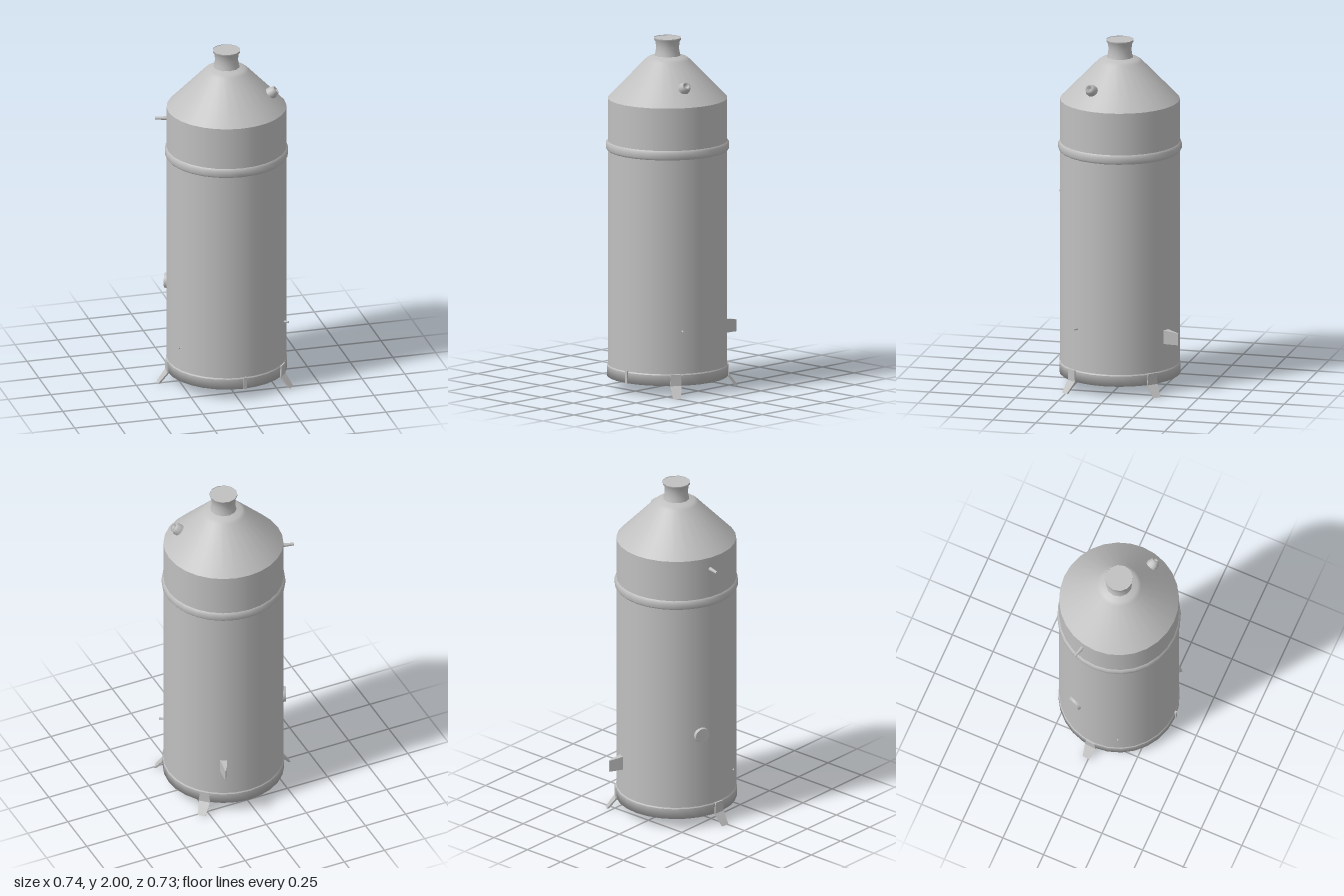
import * as THREE from 'three';

const SIDES = 28;
const R = 0.338; // tank wall radius

export function createModel() {
  const model = new THREE.Group();
  model.name = 'storageTank';
  const tank = new THREE.Group();
  tank.name = 'tank';
  tank.position.set(0.023, 0, 0.015);
  model.add(tank);

  const metal = new THREE.MeshStandardMaterial({ color: 0xc0c0c0, side: THREE.DoubleSide });
  metal.name = 'plain grey metal';

  const add = (name, geometry) => {
    const mesh = new THREE.Mesh(geometry, metal);
    mesh.name = name;
    tank.add(mesh);
    return mesh;
  };
  const lathe = (name, points, sides = SIDES) =>
    add(name, new THREE.LatheGeometry(points.map(p => new THREE.Vector2(...p)), sides));

  // Place a part at plan position (x, z) relative to the tank axis, +z facing outward
  const place = (mesh, x, y, z) => {
    mesh.position.set(x, y, z);
    mesh.rotation.y = Math.atan2(x, z);
    return mesh;
  };
  // Reshape a box by a rule, then restore crisp faces
  const shaped = (box, rule) => {
    const p = box.attributes.position;
    const v = new THREE.Vector3();
    for (let i = 0; i < p.count; i++) {
      rule(v.fromBufferAttribute(p, i));
      p.setXYZ(i, v.x, v.y, v.z);
    }
    const flat = box.toNonIndexed();
    flat.computeVertexNormals();
    return flat;
  };

  // Turned shell
  lathe('base', [[0, 0.065], [0.342, 0.065], [0.342, 0.125]]);
  lathe('baseLip', [[0.342, 0.125], [R, 0.132]]);
  lathe('wall', [[R, 0.125], [R, 1.655]]);
  lathe('bandRing', [[R, 1.358], [0.348, 1.37], [0.348, 1.4], [R, 1.412]]);
  lathe('coneRoof', [[R, 1.655], [0.125, 1.876], [0.105, 1.89], [0.068, 1.9]]);
  lathe('neck', [[0.076, 1.893], [0.069, 1.92], [0.067, 1.95], [0.071, 1.98], [0.079, 1.992], [0.079, 2]], 12);
  const lid = add('neckLid', new THREE.CircleGeometry(0.079, 12));
  lid.rotation.x = -Math.PI / 2;
  lid.position.y = 1.997;

  // Bent feet: upright against the base, then splayed out to the ground
  for (const [x, z] of [[-0.4, -0.03], [0.27, -0.286], [0.312, 0.242]]) {
    const foot = shaped(new THREE.BoxGeometry(0.066, 0.13, 0.012, 1, 2, 1), v => {
      const low = v.y < -0.01;
      if (low) {
        v.x *= 0.66;
        v.z += 0.05;
      } else if (v.y > 0.01) v.x *= 0.85;
      v.y += 0.065;
      v.z += 0.34;
    });
    add('foot', foot).rotation.y = Math.atan2(x, z);
  }

  // Small upright tab at the front of the base
  place(add('frontTab', new THREE.BoxGeometry(0.016, 0.07, 0.012)), 0.013, 0.1, 0.342);

  // Tapered spout low on the back
  const spout = shaped(new THREE.BoxGeometry(0.045, 0.082, 0.1), v => {
    if (v.z > 0) {
      v.x = v.x * 0.18;
      if (v.y > 0) v.y -= 0.014;
    }
  });
  const spoutMesh = add('backSpout', spout);
  spoutMesh.position.set(0.152, 0.326, -0.336);
  spoutMesh.rotation.y = Math.atan2(0.02, -0.066);

  // Round gauge on the wall
  const gauge = new THREE.CylinderGeometry(0.042, 0.047, 0.022, 16).rotateX(Math.PI / 2);
  place(add('gauge', gauge), -0.312, 0.57, -0.138);

  // Thin outlet pipe under the roof
  const pipe = new THREE.CylinderGeometry(0.008, 0.012, 0.08, 10).rotateX(Math.PI / 2);
  place(add('outletPipe', pipe), -0.352, 1.585, -0.09);

  // Hollow filler port standing out of the cone
  const port = lathe('fillerPort', [[0.034, -0.02], [0.034, 0.018], [0.027, 0.028],
    [0.025, 0.042], [0.014, 0.042], [0.012, 0.022], [0, 0.022]], 12);
  port.position.set(0.226, 1.746, 0.101);
  port.quaternion.setFromUnitVectors(new THREE.Vector3(0, 1, 0),
    new THREE.Vector3(0.74, 0.58, 0.26).normalize());

  // Small pins on the wall
  const pin = length => new THREE.CylinderGeometry(0.006, 0.006, length, 8).rotateX(Math.PI / 2);
  place(add('sidePin', pin(0.04)), 0.294, 0.375, 0.178);
  place(add('frontPin', pin(0.014)), -0.311, 0.265, 0.13);

  // Fine seam lip across the front
  const seam = new THREE.CylinderGeometry(R + 0.002, R + 0.002, 0.004, 8, 1, true, -0.07, 1.0);
  add('seamLip', seam).position.y = 1.12;

  return model;
}
